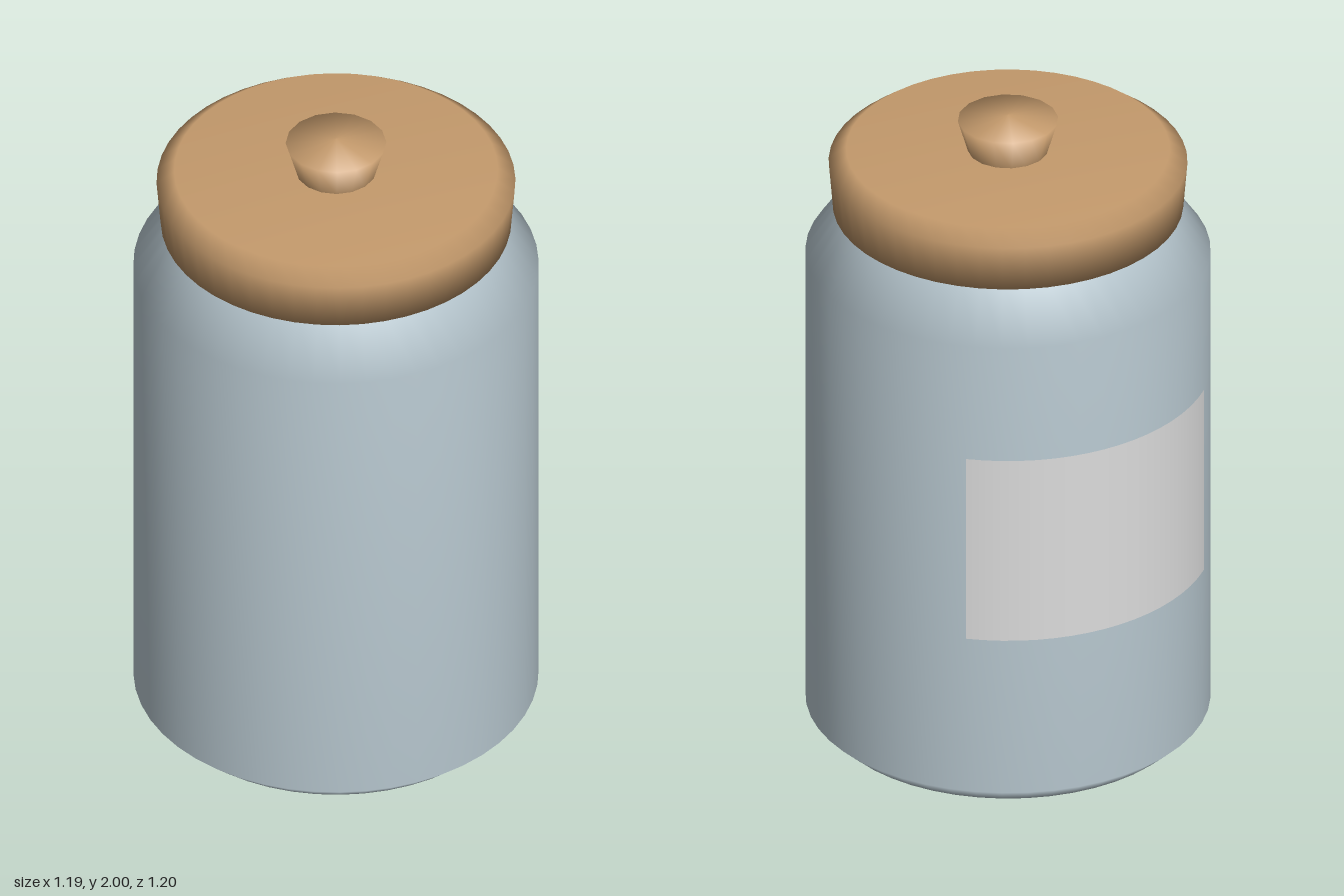
import * as THREE from 'three';

const material = (name, color, side = THREE.FrontSide) => {
  const m = new THREE.MeshStandardMaterial({ color, side });
  m.name = name;
  return m;
};

// Turned part from [radius, height] pairs, listed bottom to top
function turned(name, profile, segments, mat) {
  const points = profile.map(([r, y]) => new THREE.Vector2(r, y));
  const mesh = new THREE.Mesh(new THREE.LatheGeometry(points, segments), mat);
  mesh.name = name;
  return mesh;
}

export function createModel() {
  const glaze = material('blue grey glaze', 0xb8c8d0);
  const wood = material('light wood', 0xc49a6c);
  const paper = material('label paper', 0xdcdcdc, THREE.DoubleSide);

  const jar = new THREE.Group();
  jar.name = 'lidded jar';

  // Body with bevelled foot and sloping shoulder, closed under the lid
  jar.add(turned('body', [
    [0, 0], [0.54, 0], [0.595, 0.05], [0.595, 1.545], [0.48, 1.71], [0.48, 1.75],
  ], 48, glaze));

  // Lid flaring slightly upwards, with a bevelled rim
  jar.add(turned('lid', [
    [0, 1.7], [0.515, 1.7], [0.527, 1.845], [0.475, 1.885], [0, 1.885],
  ], 48, wood));

  // Knob with a shallow domed top
  jar.add(turned('knob', [
    [0.117, 1.88], [0.148, 1.985], [0, 2],
  ], 16, wood));

  // Thin label wrapped around the back
  const deg = Math.PI / 180;
  const label = new THREE.Mesh(
    new THREE.CylinderGeometry(0.601, 0.601, 0.605, 17, 1, true, 140 * deg, 85 * deg),
    paper,
  );
  label.name = 'label';
  label.position.y = 0.868;
  jar.add(label);

  // The label sits proud of the back, so centre the whole depth
  jar.position.z = 0.003;
  const model = new THREE.Group();
  model.name = 'jar model';
  model.add(jar);
  return model;
}
